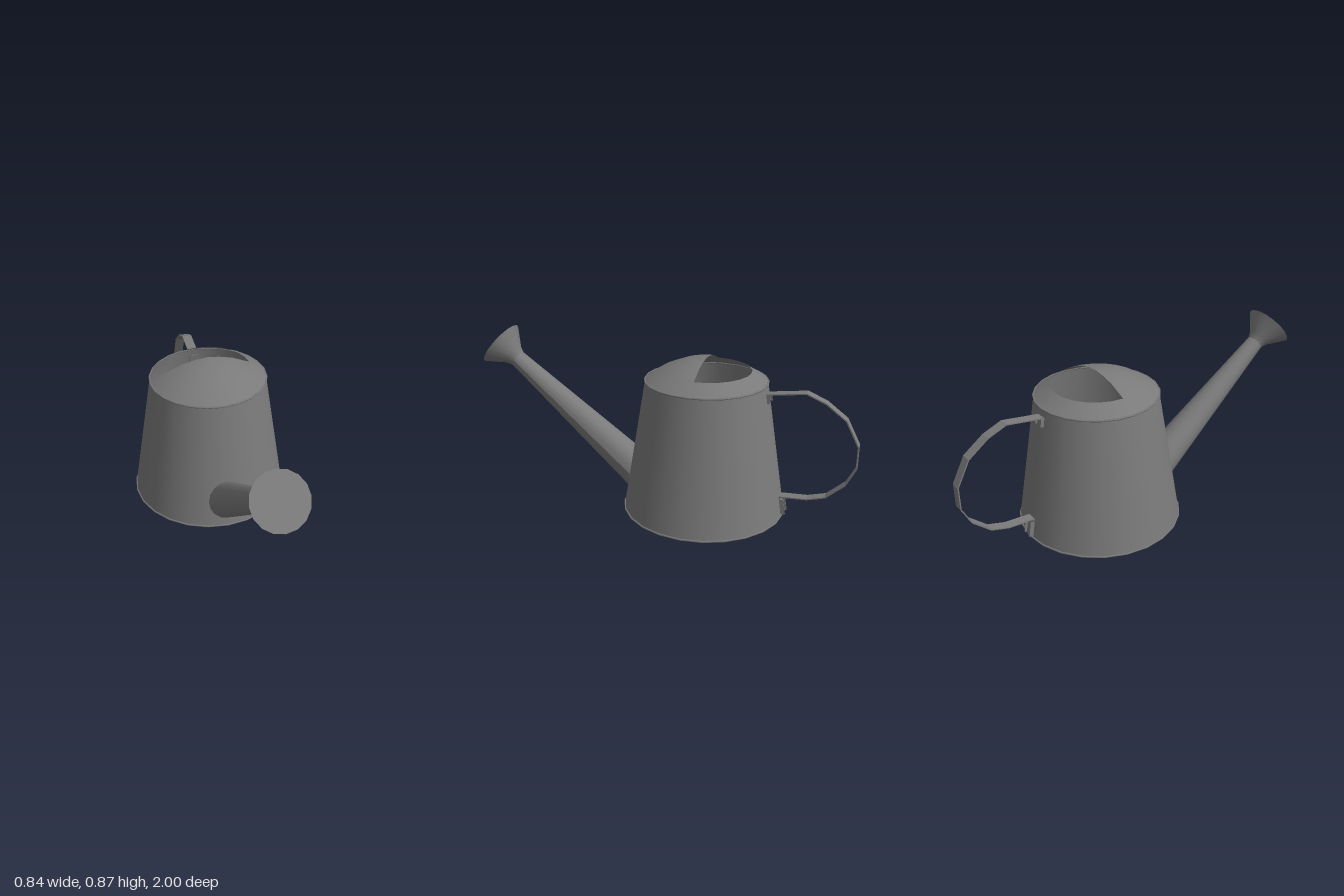
import * as THREE from 'three';

const CENTER_Z = -0.235;   // axis of the can
const HEIGHT = 0.685;
const wallRadius = y => 0.415 - 0.11 * y / HEIGHT;

export function createModel() {
  const metal = new THREE.MeshStandardMaterial({ color: 0x7a7a7a, side: THREE.DoubleSide });
  metal.name = 'grey metal';
  const model = new THREE.Group();
  model.name = 'wateringCan';

  const add = (name, geometry, x = 0, y = 0, z = 0) => {
    const mesh = new THREE.Mesh(geometry, metal);
    mesh.name = name;
    mesh.position.set(x, y, z);
    model.add(mesh);
    return mesh;
  };
  const lathe = (pts, start = 0, length = Math.PI * 2, segments = 24) =>
    new THREE.LatheGeometry(pts.map(p => new THREE.Vector2(...p)), segments, start, length);

  // Tapered body, floor and rolled rims
  add('body', lathe([[wallRadius(0), 0.005], [wallRadius(HEIGHT), HEIGHT]]), 0, 0, CENTER_Z);
  add('floor', new THREE.CircleGeometry(0.415, 24).rotateX(Math.PI / 2), 0, 0.004, CENTER_Z);
  for (const [name, radius, y] of [['bottomRim', 0.416, 0.006], ['topRim', 0.307, HEIGHT]]) {
    add(name, new THREE.TorusGeometry(radius, 0.005, 6, 24).rotateX(Math.PI / 2), 0, y, CENTER_Z);
  }

  // Lid: sloping collar at the back, domed hood over the front half
  const collar = [[0.307, 0.687], [0.225, 0.738]];
  add('collar', lathe(collar, Math.PI / 2, Math.PI, 12), 0, 0, CENTER_Z);
  add('hood', lathe([...collar, [0.13, 0.777], [0.06, 0.792], [0, 0.798]],
    -Math.PI / 2, Math.PI, 12), 0, 0, CENTER_Z);

  // Spout: tapered tube whose lower ring is trimmed to the body wall
  const waist = new THREE.Vector3(0, 0.697, 0.823);
  const base = new THREE.Vector3(0, 0.158, 0.15);
  const axis = waist.clone().sub(base).normalize();
  const across = new THREE.Vector3(0, axis.z, -axis.y);
  const outside = p => Math.hypot(p.x, p.z - CENTER_Z) > wallRadius(p.y);
  const SIDES = 16, positions = [], indices = [];
  for (let i = 0; i <= SIDES; i++) {
    const a = i / SIDES * Math.PI * 2;
    const dir = new THREE.Vector3(Math.cos(a), 0, 0).addScaledVector(across, Math.sin(a));
    const top = waist.clone().addScaledVector(dir, 0.045);
    const low = base.clone().addScaledVector(dir, 0.096);
    let near = 0, far = 1.4;
    for (let k = 0; k < 24; k++) {
      const mid = (near + far) / 2;
      if (outside(top.clone().lerp(low, mid))) near = mid; else far = mid;
    }
    const foot = top.clone().lerp(low, near);
    positions.push(...foot.toArray(), ...top.toArray());
    if (i < SIDES) {
      const n = i * 2;
      indices.push(n, n + 1, n + 2, n + 1, n + 3, n + 2);
    }
  }
  // Keep the outside as the front face
  for (let i = 0; i < indices.length; i += 3) {
    const [a, b, c] = [0, 1, 2].map(k => new THREE.Vector3().fromArray(positions, indices[i + k] * 3));
    const normal = b.clone().sub(a).cross(c.clone().sub(a));
    const out = a.clone().add(b).add(c).divideScalar(3).sub(base);
    out.addScaledVector(axis, -out.dot(axis));
    if (normal.dot(out) < 0) [indices[i + 1], indices[i + 2]] = [indices[i + 2], indices[i + 1]];
  }
  const spout = new THREE.BufferGeometry();
  spout.setAttribute('position', new THREE.Float32BufferAttribute(positions, 3));
  spout.setIndex(indices);
  spout.computeVertexNormals();
  add('spout', spout);

  // Flared rose with a flat face
  const turn = new THREE.Quaternion().setFromUnitVectors(new THREE.Vector3(0, 1, 0), axis);
  const flare = add('rose', lathe([[0.044, -0.005], [0.058, 0.03], [0.13, 0.122]], 0, Math.PI * 2, 16), ...waist.toArray());
  flare.quaternion.copy(turn);
  const face = add('roseFace', new THREE.CircleGeometry(0.13, 16).rotateX(-Math.PI / 2),
    ...waist.clone().addScaledVector(axis, 0.122).toArray());
  face.quaternion.copy(turn);

  // Handle: thin bent strap with a tab folded against the wall at each end, as [z, y]
  const strap = [[-0.552, 0.60], [-0.546, 0.645], [-0.735, 0.67], [-0.83, 0.63], [-0.93, 0.555], [-0.995, 0.43],
    [-0.995, 0.315], [-0.95, 0.225], [-0.86, 0.145], [-0.77, 0.12], [-0.635, 0.113], [-0.655, 0.02]];
  const handle = new THREE.Group();
  handle.name = 'handle';
  model.add(handle);
  for (let i = 0; i < strap.length - 1; i++) {
    const [z0, y0] = strap[i], [z1, y1] = strap[i + 1];
    const piece = new THREE.Mesh(
      new THREE.BoxGeometry(0.052, 0.006, Math.hypot(z1 - z0, y1 - y0) + 0.003), metal);
    piece.name = 'handleStrap';
    piece.position.set(0, (y0 + y1) / 2, (z0 + z1) / 2);
    piece.rotation.x = -Math.atan2(y1 - y0, z1 - z0);
    handle.add(piece);
  }
  // Standing side flanges of the two tabs
  for (const [y, z, h] of [[0.625, -0.552, 0.045], [0.06, -0.652, 0.08]]) {
    for (const side of [-1, 1]) {
      const flange = new THREE.Mesh(new THREE.BoxGeometry(0.005, h, 0.022), metal);
      flange.name = 'handleTab';
      flange.position.set(side * 0.025, y, z);
      flange.rotation.x = 0.16;
      handle.add(flange);
    }
  }
  return model;
}
